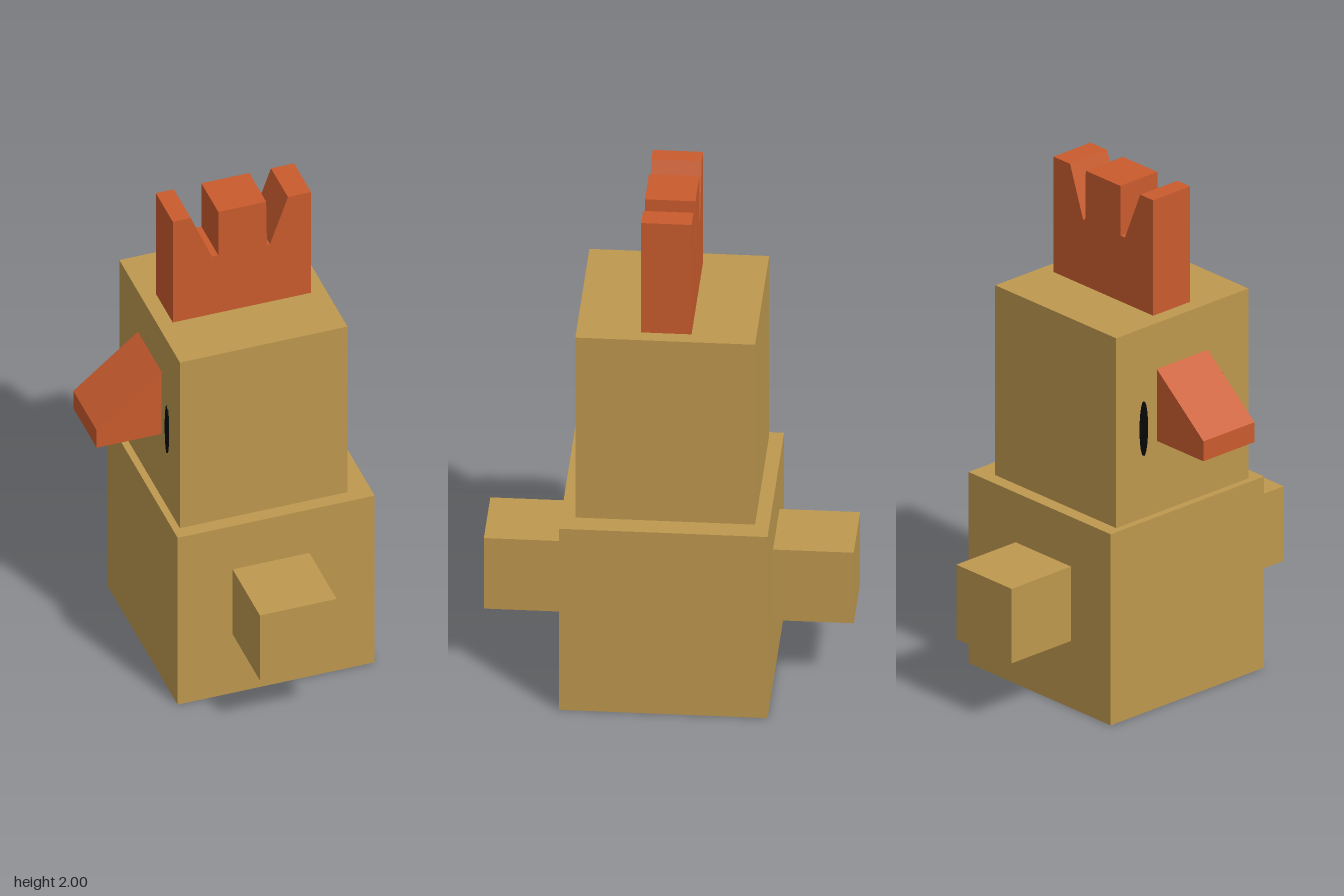
import * as THREE from 'three';

export function createModel() {
  const model = new THREE.Group();
  const paint = (name, color) => {
    const m = new THREE.MeshStandardMaterial({ color });
    m.name = name;
    return m;
  };
  const tan = paint('tan', 0xbe984e);
  const orange = paint('orange', 0xc95b2d);
  const black = paint('black', 0x080808);

  const add = (name, geometry, material) => {
    const mesh = new THREE.Mesh(geometry, material);
    mesh.name = name;
    model.add(mesh);
    return mesh;
  };
  // Box given by its size, the middle of its base and its material
  const block = (name, w, h, d, x, y, z) =>
    add(name, new THREE.BoxGeometry(w, h, d), tan).position.set(x, y + h / 2, z);
  // Side profile in x and y, extruded evenly about z = 0
  const slab = (name, points, depth) => {
    const shape = new THREE.Shape(points.map(([x, y]) => new THREE.Vector2(x, y)));
    const geometry = new THREE.ExtrudeGeometry(shape, { depth, bevelEnabled: false });
    geometry.translate(0, 0, -depth / 2);
    add(name, geometry, orange);
  };

  // Body and head; the bird looks along -x
  block('body', 0.77, 0.77, 0.77, 0.11, 0, 0);
  block('head', 0.655, 0.765, 0.664, 0.08, 0.77, 0);

  // Crest with two notches
  slab('crest', [
    [-0.19, 1.535], [0.35, 1.535], [0.35, 2], [0.26, 2], [0.19, 1.8], [0.178, 1.8],
    [0.175, 2], [-0.012, 2], [-0.012, 1.8], [-0.037, 1.8], [-0.12, 2], [-0.19, 2],
  ], 0.186);

  // Wedge beak
  slab('beak', [[-0.247, 1.06], [-0.247, 1.35], [-0.5, 1.14], [-0.5, 1.06]], 0.256);

  // Stubby wings and tall narrow eyes on both sides
  const eyeGeometry = new THREE.CylinderGeometry(1, 1, 0.004, 24).rotateZ(Math.PI / 2);
  for (const side of [-1, 1]) {
    const label = side > 0 ? 'left' : 'right';
    block(label + 'Wing', 0.3, 0.3, 0.3, 0.09, 0.27, side * 0.533);
    const eye = add(label + 'Eye', eyeGeometry, black);
    eye.scale.set(1, 0.11, 0.02);
    eye.position.set(-0.249, 1.13, side * 0.195);
  }
  return model;
}
